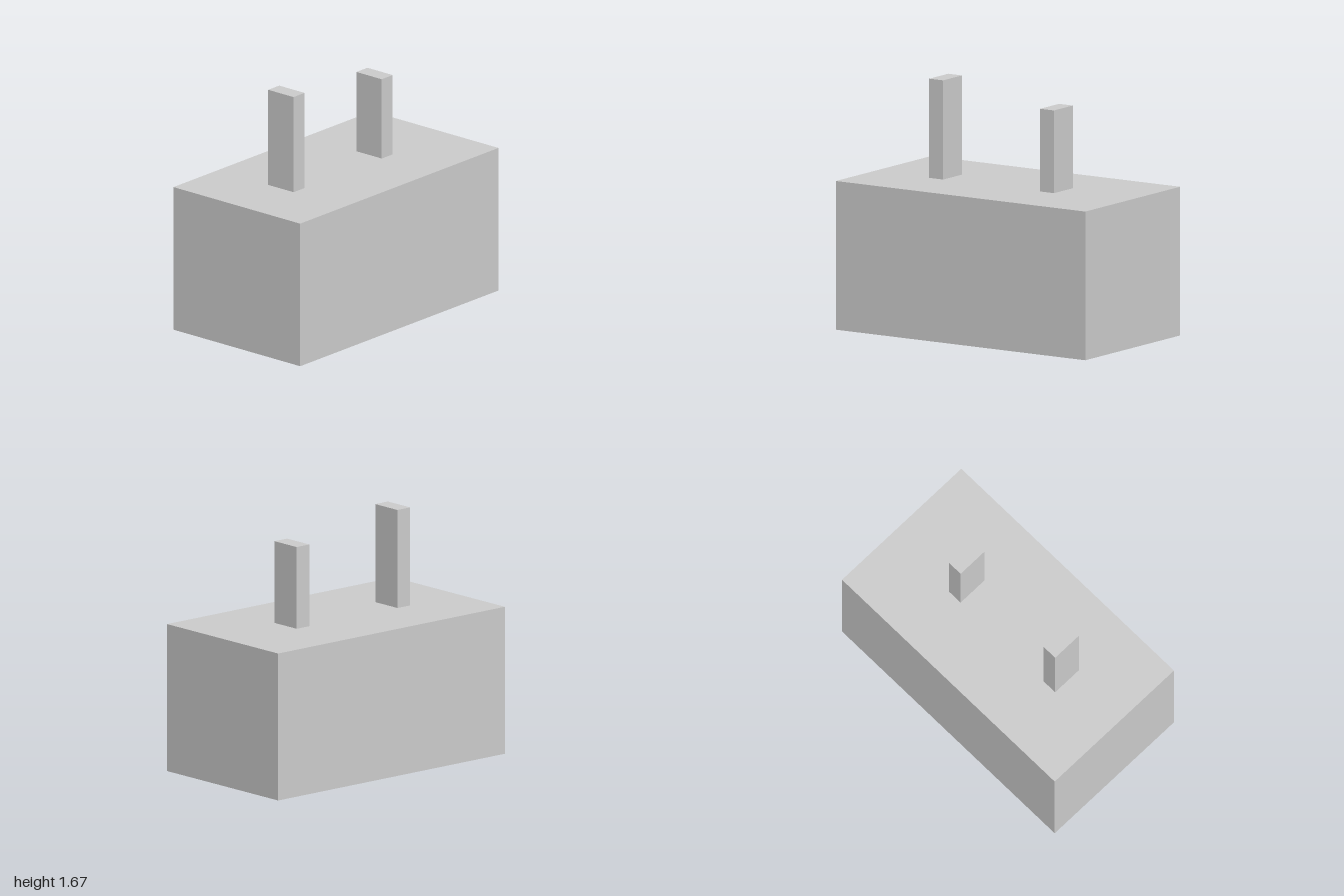
import * as THREE from 'three';

export function createModel() {
  const model = new THREE.Group();
  const material = new THREE.MeshStandardMaterial({ color: 0xcccccc, flatShading: true });

  // Box standing on the height "base", centred on z = 0
  const addBlock = (name, width, height, depth, x, base) => {
    const mesh = new THREE.Mesh(new THREE.BoxGeometry(width, height, depth), material);
    mesh.name = name;
    mesh.position.set(x, base + height / 2, 0);
    model.add(mesh);
  };

  // Main block
  addBlock('body', 2, 1, 1.111, 0, 0);

  // Two upright prongs of unequal height
  addBlock('tallProng', 0.111, 0.667, 0.222, -0.5, 1);
  addBlock('shortProng', 0.111, 0.556, 0.222, 0.389, 1);

  return model;
}
